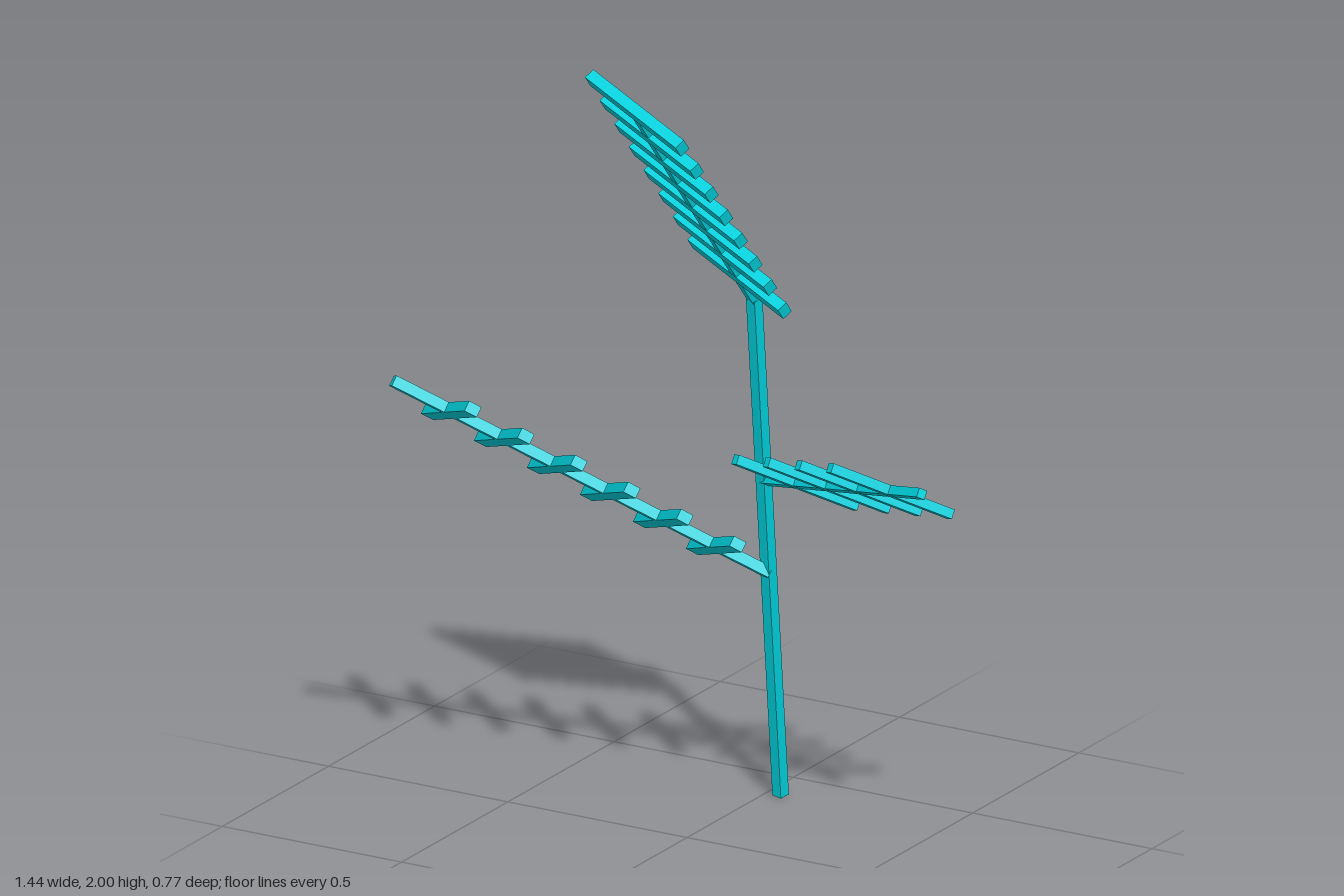
import * as THREE from 'three';

const material = new THREE.MeshStandardMaterial({ color: 0x00d4e0, flatShading: true });
const V = (x, y, z) => new THREE.Vector3(x, y, z);

// Rectangular beam from a to b; 'width' lies towards 'side', 'thick' across it.
function beam(name, a, b, width, thick, side) {
  const along = b.clone().sub(a);
  const length = along.length();
  along.normalize();
  const x = side.clone().addScaledVector(along, -side.dot(along)).normalize();
  const z = x.clone().cross(along);
  const mesh = new THREE.Mesh(new THREE.BoxGeometry(width, length, thick), material);
  mesh.quaternion.setFromRotationMatrix(new THREE.Matrix4().makeBasis(x, along, z));
  mesh.position.copy(a).add(b).multiplyScalar(0.5);
  mesh.name = name;
  return mesh;
}

// Stem with evenly spaced crossbars: bar k of 'count' sits at k / divisions.
function rack({ name, start, end, bar, count, divisions, stemSize, width, thick }) {
  const group = new THREE.Group();
  group.name = name;
  const stemDir = end.clone().sub(start);
  const half = bar.clone().multiplyScalar(0.5);
  group.add(beam('stem', start, end, stemSize, stemSize, half));
  for (let k = 1; k <= count; k++) {
    const c = start.clone().lerp(end, k / divisions);
    group.add(beam('crossbar', c.clone().sub(half), c.clone().add(half), width, thick, stemDir));
  }
  return group;
}

export function createModel() {
  const model = new THREE.Group();
  model.name = 'rackTree';

  // Leaning mast
  const base = V(0.041, 0.002, -0.371);
  const top = V(0.083, 1.333, -0.176);
  model.add(beam('mast', base, top, 0.028, 0.028, V(0.97, 0, 0.22)));

  // Top rack bending forward from the mast, closed by a bar at its tip
  model.add(rack({
    name: 'topRack', start: top, end: V(0.036, 1.942, 0.296),
    bar: V(0.33, -0.08, 0.131), count: 8, divisions: 8,
    stemSize: 0.026, width: 0.036, thick: 0.028,
  }));

  // Large branch on the right
  model.add(rack({
    name: 'rightRack', start: V(0.063, 0.6, -0.28), end: V(-0.69, 1.105, 0.22),
    bar: V(0.273, 0.135, 0.256), count: 6, divisions: 7.1,
    stemSize: 0.027, width: 0.034, thick: 0.027,
  }));

  // Smaller branch on the left
  model.add(rack({
    name: 'leftRack', start: V(0.067, 0.846, -0.25), end: V(0.707, 1.03, 0.088),
    bar: V(0.198, -0.154, -0.235), count: 4, divisions: 5,
    stemSize: 0.023, width: 0.027, thick: 0.024,
  }));

  return model;
}
